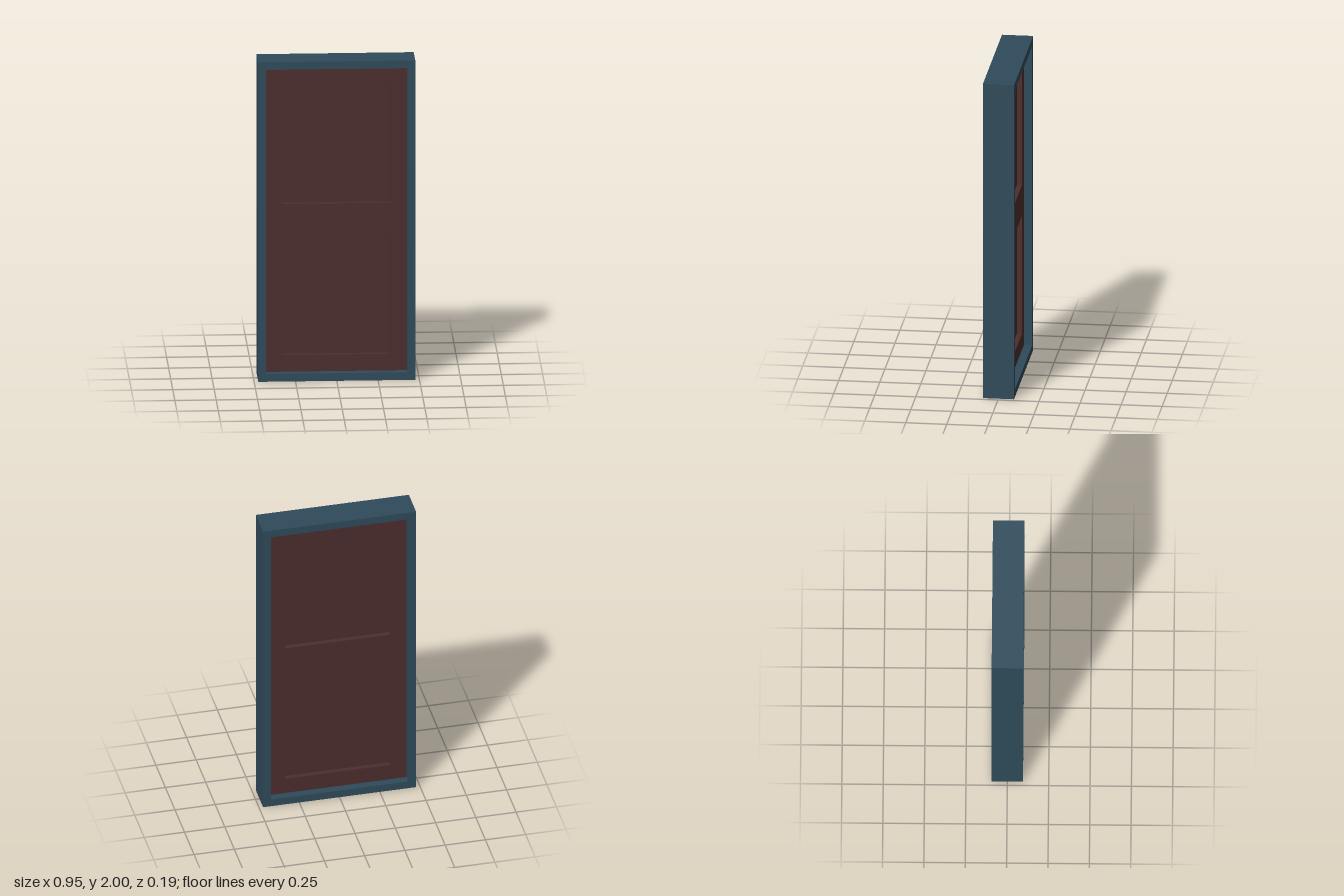
import * as THREE from 'three';

const W = 0.95, H = 2, DEPTH = 0.19;      // outer frame
const RIM = 0.048;                        // frame width
const DOOR_DEPTH = 0.09, PANEL_DEPTH = 0.03;
const PANEL_W = 0.654, PANEL_H = 0.75;
const PANEL_Y = [0.527, 1.473];           // panel centres

// Rectangle outline as a Shape or Path, centred on x = 0 and y = cy
function rect(Type, w, h, cy) {
  const p = new Type();
  p.moveTo(-w / 2, cy - h / 2);
  p.lineTo(w / 2, cy - h / 2);
  p.lineTo(w / 2, cy + h / 2);
  p.lineTo(-w / 2, cy + h / 2);
  p.closePath();
  return p;
}

// Flat board with rectangular openings, centred on z = 0
function board(name, w, h, depth, holes, material) {
  const shape = rect(THREE.Shape, w, h, H / 2);
  shape.holes = holes.map(([hw, hh, cy]) => rect(THREE.Path, hw, hh, cy));
  const geo = new THREE.ExtrudeGeometry(shape, { depth, bevelEnabled: false });
  geo.translate(0, 0, -depth / 2);
  const mesh = new THREE.Mesh(geo, material);
  mesh.name = name;
  return mesh;
}

export function createModel() {
  const group = new THREE.Group();
  group.name = 'framedDoor';
  const frameMat = new THREE.MeshStandardMaterial({ color: 0x2f4b5b });
  const doorMat = new THREE.MeshStandardMaterial({ color: 0x4d2e2e });

  // Frame around all four sides
  const innerW = W - 2 * RIM, innerH = H - 2 * RIM;
  group.add(board('frame', W, H, DEPTH, [[innerW, innerH, H / 2]], frameMat));

  // Door leaf: stiles and rails around two openings
  const openings = PANEL_Y.map((y) => [PANEL_W, PANEL_H, y]);
  group.add(board('doorLeaf', innerW, innerH, DOOR_DEPTH, openings, doorMat));

  // Panels recessed on both faces
  PANEL_Y.forEach((y, i) => {
    const panel = new THREE.Mesh(new THREE.BoxGeometry(PANEL_W, PANEL_H, PANEL_DEPTH), doorMat);
    panel.position.y = y;
    panel.name = i ? 'upperPanel' : 'lowerPanel';
    group.add(panel);
  });

  return group;
}
